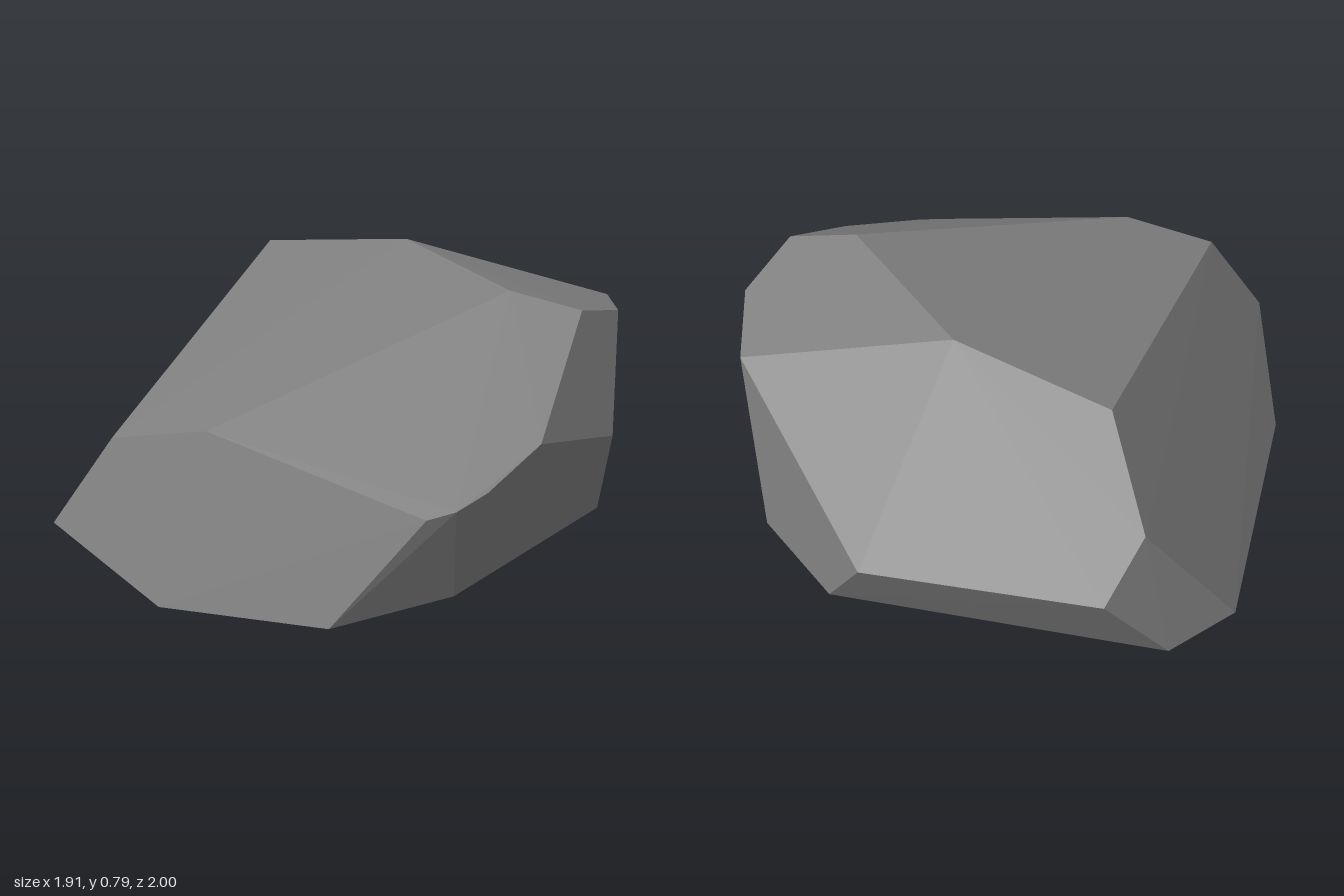
import * as THREE from 'three';
import { ConvexGeometry } from 'three/addons/geometries/ConvexGeometry.js';

export function createModel() {
  const group = new THREE.Group();
  group.name = 'rock';
  const stone = new THREE.MeshStandardMaterial({ color: 0x808080 });
  stone.name = 'stone grey';
  stone.flatShading = true;

  // Corners of the base facet, which lie on one slightly tilted plane
  const base = [
    [-0.42, 0.71], [0.26, 0.87], [0.72, 0.60], [0.85, 0.22], [0.79, -0.48],
    [0.31, -0.92], [-0.08, -0.99], [-0.94, -0.40], [-0.96, -0.12],
  ].map(([x, z]) => new THREE.Vector3(x, 0.0485 + 0.019 * x - 0.05 * z, z));

  // Corners around the widest part
  const girdle = [
    [-0.08, 0.205, 1.0], [0.90, 0.385, 0.39], [0.94, 0.40, 0.31],
    [0.955, 0.43, 0.20], [0.953, 0.515, -0.02], [0.86, 0.375, -0.45],
    [-0.24, 0.295, -1.0], [-0.86, 0.30, -0.60],
  ];

  // Corners of the upper facets
  const crown = [
    [0.03, 0.48, 0.85], [0.28, 0.54, 0.69], [0.54, 0.80, -0.305],
    [0.73, 0.76, -0.425], [0.68, 0.685, -0.655], [0.47, 0.628, -0.845],
    [-0.07, 0.77, -0.445], [-0.56, 0.675, -0.265], [-0.84, 0.445, -0.41],
  ];

  const corners = [...girdle, ...crown].map((p) => new THREE.Vector3(...p));
  const boulder = new THREE.Mesh(new ConvexGeometry([...base, ...corners]), stone);
  boulder.name = 'boulder';
  group.add(boulder);
  return group;
}
